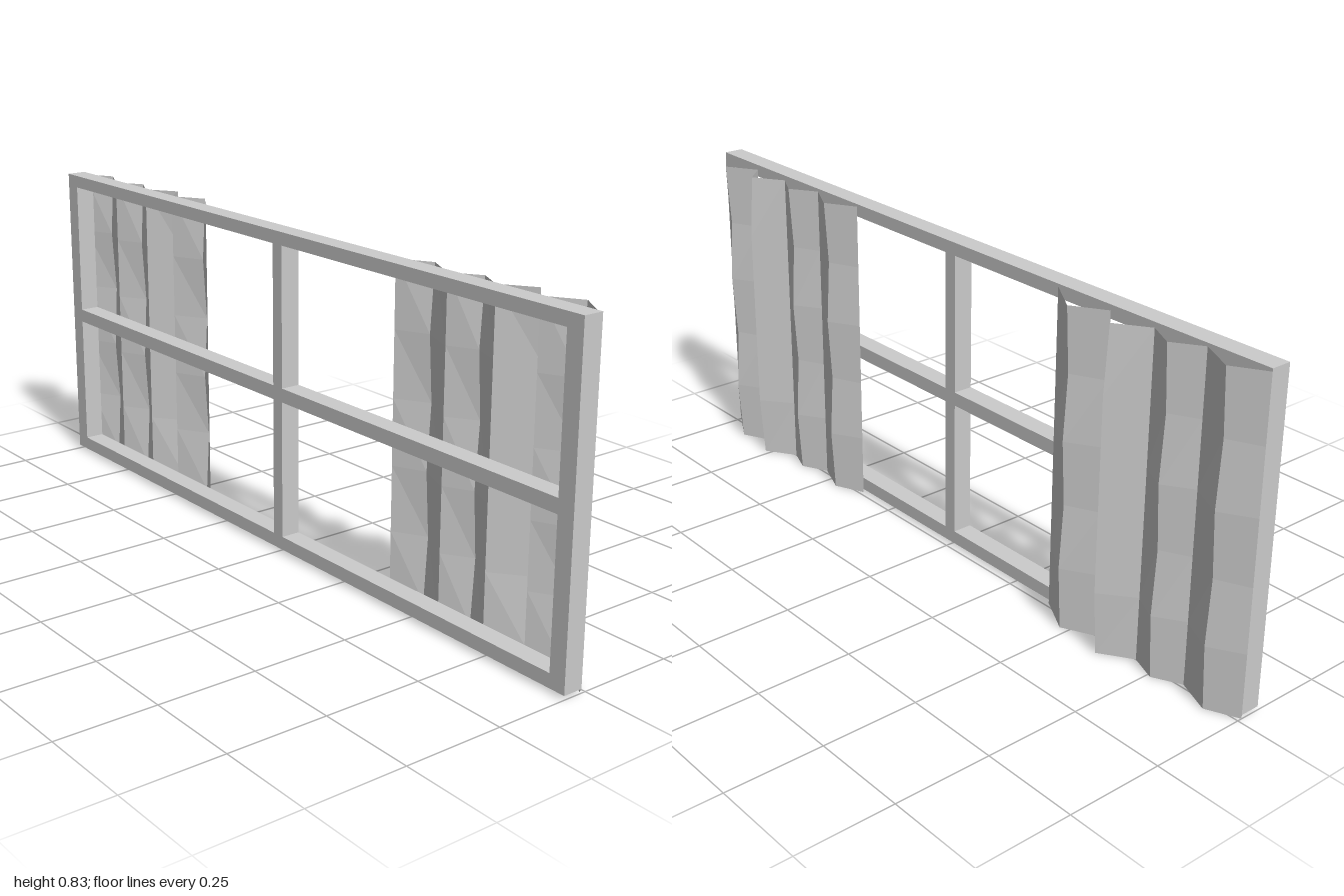
import * as THREE from 'three';

const material = new THREE.MeshStandardMaterial({ color: 0xcccccc, flatShading: true, side: THREE.DoubleSide });

// Pleats as [z, x] pairs, running along the curtain
const PLEATS = [
  [-1, -0.012], [-0.92, 0.03], [-0.83, -0.01], [-0.76, 0.031], [-0.69, 0],
  [-0.61, 0.053], [-0.56, 0.001], [-0.477, 0.047], [-0.38, -0.012],
];
const ROWS = 5;
const HEIGHT = 0.826;

// Window frame: one slab with four pane openings
function createFrame() {
  const rect = (target, z0, y0, z1, y1) => {
    target.moveTo(z0, y0);
    target.lineTo(z1, y0);
    target.lineTo(z1, y1);
    target.lineTo(z0, y1);
    target.closePath();
    return target;
  };
  const shape = rect(new THREE.Shape(), -1, 0.01, 1, 0.833);
  for (const [z0, z1] of [[-0.955, -0.018], [0.018, 0.955]]) {
    for (const [y0, y1] of [[0.045, 0.404], [0.44, 0.8]]) {
      shape.holes.push(rect(new THREE.Path(), z0, y0, z1, y1));
    }
  }
  const geometry = new THREE.ExtrudeGeometry(shape, { depth: 0.052, bevelEnabled: false });
  geometry.rotateY(-Math.PI / 2).translate(-0.012, 0, 0);
  const mesh = new THREE.Mesh(geometry, material);
  mesh.name = 'windowFrame';
  return mesh;
}

// Pleated sheet whose ridges sway in and out with height
function createCurtain(name, offset) {
  const positions = [];
  const index = [];
  const n = PLEATS.length;
  for (let r = 0; r <= ROWS; r++) {
    PLEATS.forEach(([z, x], i) => {
      let sway = 0;
      if (i === 5) sway = r === 0 || r === ROWS ? 0 : 0.011;
      else if (i % 2) sway = r % 2 ? 0.005 : -0.005;
      positions.push(x + sway, (HEIGHT * r) / ROWS, z + offset);
    });
  }
  for (let r = 0; r < ROWS; r++) {
    for (let i = 0; i < n - 1; i++) {
      const a = r * n + i, b = a + 1, c = a + n, d = c + 1;
      index.push(a, c, b, b, c, d);
    }
  }
  const geometry = new THREE.BufferGeometry();
  geometry.setAttribute('position', new THREE.Float32BufferAttribute(positions, 3));
  geometry.setIndex(index);
  geometry.computeVertexNormals();
  const mesh = new THREE.Mesh(geometry, material);
  mesh.name = name;
  return mesh;
}

export function createModel() {
  const group = new THREE.Group();
  group.name = 'curtainedWindow';
  group.add(createFrame(), createCurtain('backCurtain', 0), createCurtain('frontCurtain', 1.377));
  return group;
}
